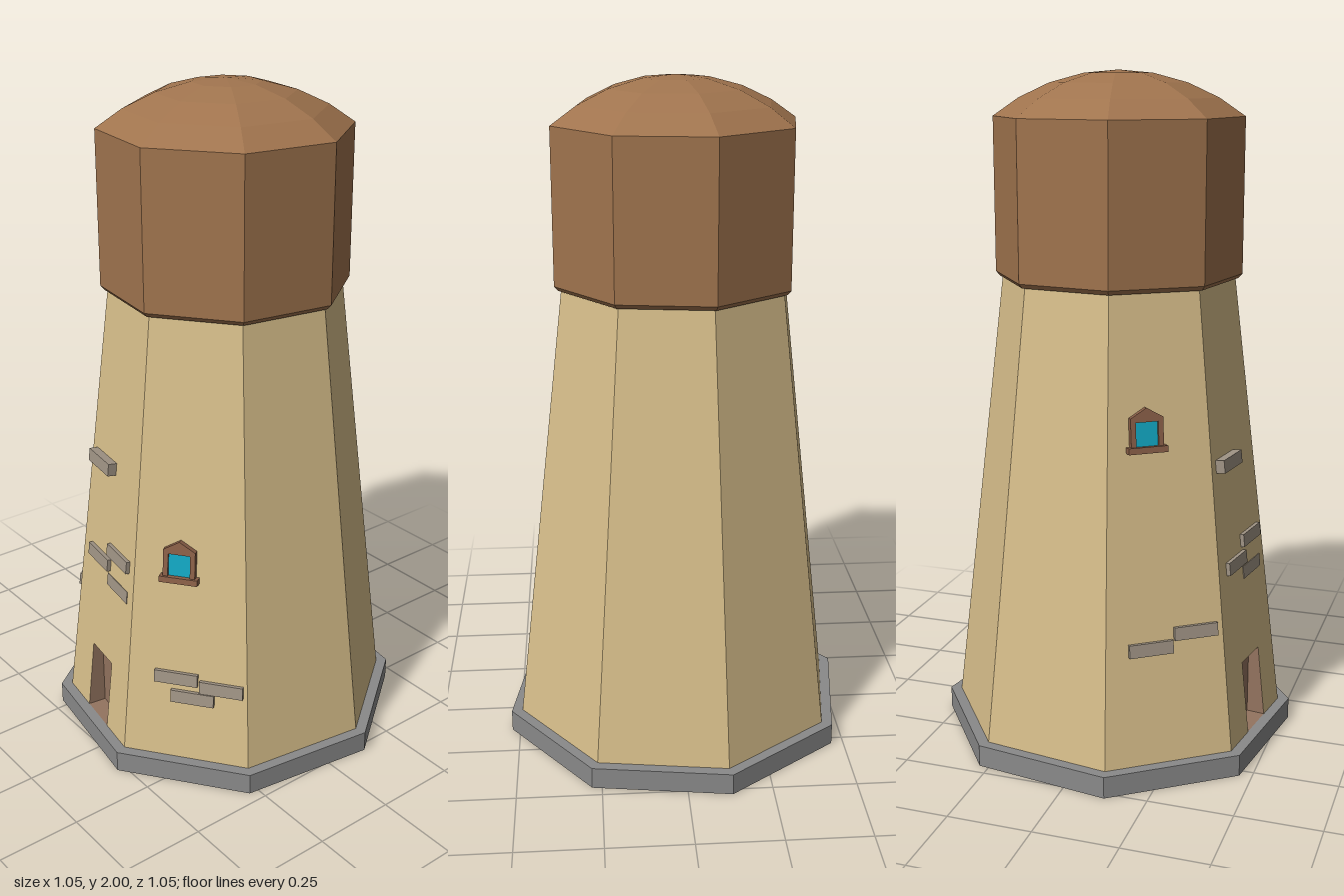
import * as THREE from 'three';

const SIDES = 8, START = THREE.MathUtils.degToRad(13.9), STEP = Math.PI / 4;
const Y0 = 0.065, Y1 = 1.41, R0 = 0.507, R1 = 0.345;
const APO = Math.cos(STEP / 2), HALF = Math.sin(STEP / 2);
const TILT = Math.atan((R0 - R1) * APO / (Y1 - Y0));
const LEN = (Y1 - Y0) / Math.cos(TILT);
const upWall = (y) => (y - Y0) / Math.cos(TILT); // height -> distance up the sloping wall

const mat = (color) => new THREE.MeshStandardMaterial({ color, flatShading: true });

function add(parent, name, geometry, material, x = 0, y = 0, z = 0) {
  const mesh = new THREE.Mesh(geometry, material);
  mesh.name = name;
  mesh.position.set(x, y, z);
  parent.add(mesh);
  return mesh;
}

const polygon = (points) => new THREE.Shape(points.map(([x, y]) => new THREE.Vector2(x, y)));

export function createModel() {
  const model = new THREE.Group();
  model.name = 'tower';
  const wall = mat(0xd8bf8b), roof = mat(0xa0744e), stone = mat(0x8a8a8a);
  const brickMat = mat(0xa09485), wood = mat(0x8b6048), glass = mat(0x12a8c4), doorMat = mat(0x94745f);

  // Plinth
  add(model, 'plinth', new THREE.CylinderGeometry(0.541, 0.541, Y0, SIDES, 1, false, START), stone, 0, Y0 / 2);

  // Domed cap with a small bevel at its lower rim
  const profile = [[0.32, 1.405], [0.355, 1.405], [0.366, 1.418], [0.366, 1.87],
    [0.29, 1.922], [0.2, 1.964], [0.1, 1.991], [0, 2]].map(([r, y]) => new THREE.Vector2(r, y));
  add(model, 'cap', new THREE.LatheGeometry(profile, SIDES, START), roof);

  // Sloping wall panels; the last one (front) has the doorway cut out
  const doorX = 0.005, doorW = 0.13, doorTop = 0.285;
  const panels = [];
  for (let i = 0; i < SIDES; i++) {
    const side = new THREE.Group();
    side.name = 'wallSide';
    side.rotation.y = START + (i + 0.5) * STEP;
    model.add(side);
    const slope = new THREE.Group();
    slope.name = 'wallSlope';
    slope.position.set(0, Y0, R0 * APO);
    slope.rotation.x = -TILT;
    side.add(slope);
    const b = R0 * HALF, t = R1 * HALF, l = doorX - doorW / 2, r = doorX + doorW / 2, h = upWall(doorTop);
    const outline = i === SIDES - 1
      ? [[-b, 0], [l, 0], [l, h], [r, h], [r, 0], [b, 0], [t, LEN], [-t, LEN]]
      : [[-b, 0], [b, 0], [t, LEN], [-t, LEN]];
    add(slope, 'wallPanel', new THREE.ShapeGeometry(polygon(outline)), wall);
    panels.push({ side, slope });
  }
  const right = panels[0].slope, front = panels[7].slope, left = panels[6].slope;

  // Door recess: an open box turned inside out, its front edge following the slope
  const depth = 0.055, doorH = doorTop - Y0;
  const recess = new THREE.BoxGeometry(doorW, doorH, depth);
  const pos = recess.attributes.position;
  for (let i = 0; i < pos.count; i++) {
    if (pos.getZ(i) > 0 && pos.getY(i) > 0) pos.setZ(i, depth / 2 - doorH * Math.tan(TILT));
  }
  const kept = Array.from(recess.index.array).filter((_, i) => i < 24 || i >= 30);
  recess.setIndex(kept.reverse());
  recess.clearGroups();
  const inside = recess.toNonIndexed();
  inside.computeVertexNormals();
  add(panels[7].side, 'doorRecess', inside, doorMat, doorX, Y0 + doorH / 2 + 0.001, R0 * APO - depth / 2);

  // Loose bricks: [wall, sideways, height, how far it stands out]
  const bricks = [
    [front, -0.06, 0.9, 0.027], [front, 0.07, 0.642, 0.012], [front, -0.05, 0.592, 0.012], [front, 0.07, 0.543, 0.002],
    [right, -0.033, 0.328, 0.012], [right, 0.105, 0.31, 0.012], [right, 0.018, 0.27, 0.012],
    [left, -0.045, 0.405, 0.012], [left, 0.092, 0.44, 0.012],
  ];
  for (const [panel, x, y, out] of bricks) {
    add(panel, 'brick', new THREE.BoxGeometry(0.132, 0.038, 0.04), brickMat, x, upWall(y), out - 0.02);
  }

  // Windows with a pointed frame, pane and sill
  const addWindow = (panel, x, y) => {
    const win = new THREE.Group();
    win.name = 'window';
    win.position.set(x, upWall(y), 0);
    panel.add(win);
    const frame = polygon([[-0.048, -0.04], [0.048, -0.04], [0.048, 0.045], [0, 0.073], [-0.048, 0.045]]);
    frame.holes.push(polygon([[-0.033, -0.036], [-0.033, 0.033], [0.033, 0.033], [0.033, -0.036]]));
    add(win, 'windowFrame', new THREE.ExtrudeGeometry(frame, { depth: 0.03, bevelEnabled: false }), wood, 0, 0, -0.012);
    add(win, 'windowPane', new THREE.BoxGeometry(0.07, 0.072, 0.02), glass, 0, -0.001, 0);
    add(win, 'windowSill', new THREE.BoxGeometry(0.115, 0.018, 0.045), wood, 0, -0.045, 0.003);
  };
  addWindow(right, -0.028, 0.69);
  addWindow(left, -0.04, 1.02);

  return model;
}
